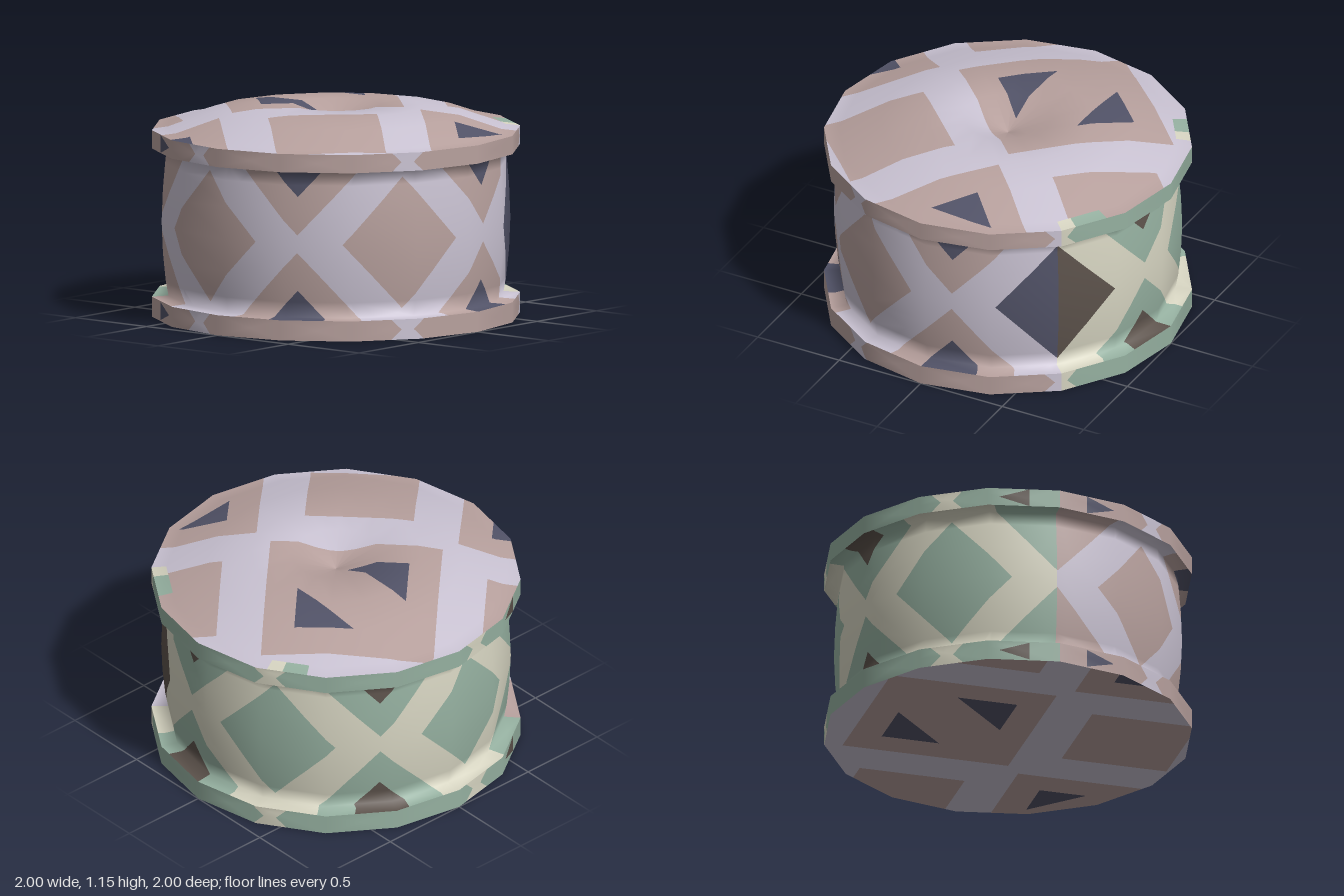
import * as THREE from 'three';

const mat = (name, color) => {
  const m = new THREE.MeshStandardMaterial({ color });
  m.name = name;
  return m;
};
const MATS = {
  pink: mat('dusty pink', 0xb8a19e),
  lavender: mat('lavender', 0xcac3d3),
  navy: mat('navy', 0x525368),
  green: mat('sage green', 0x95b0a0),
  cream: mat('cream', 0xd6d4c1),
  brown: mat('dark brown', 0x5d534c),
};
// Each half of the side has its own three colours
const FRONT = { base: 'pink', band: 'lavender', spot: 'navy' };
const BACK = { base: 'green', band: 'cream', spot: 'brown' };
const half = (deg) => (deg > 135 && deg < 315 ? BACK : FRONT);

// Argyle lattice: large cells with a spot inside, small cells between, bands around
const P = 3.43, BIG = 1.58;
const fold = (x) => Math.abs(x - P * Math.round(x / P));
function argyle(a, b) {
  const big = fold(a) + fold(b);
  if (big < 1) return 'spot';
  if (big < BIG) return 'base';
  return fold(a - P / 2) + fold(b - P / 2) < 1 ? 'small' : 'band';
}
// Lines a*u + b*v = c along which the lattice changes colour
function argyleLines(u0, v0, U, V) {
  const lines = [];
  for (let k = -8; k <= 8; k++) {
    for (const d of [-BIG, -1, 1, BIG]) {
      for (const s of [1, -1]) {
        lines.push([1 / U, s / V, P * k + d + u0 / U + (s * v0) / V]);
      }
    }
  }
  return lines;
}

// Cut a triangle by a line in pattern space, keeping its winding
function splitTriangle(tri, [a, b, c], out) {
  const d = tri.map((p) => {
    const e = a * p[6] + b * p[7] - c;
    return Math.abs(e) < 1e-6 ? 0 : e;
  });
  if (d.every((e) => e >= 0) || d.every((e) => e <= 0)) {
    out.push(tri);
    return;
  }
  for (const side of [1, -1]) {
    const poly = [];
    for (let i = 0; i < 3; i++) {
      const j = (i + 1) % 3;
      if (d[i] * side >= 0) poly.push(tri[i]);
      if (d[i] * d[j] < 0) {
        const t = d[i] / (d[i] - d[j]);
        poly.push(tri[i].map((x, n) => x + (tri[j][n] - x) * t));
      }
    }
    for (let i = 2; i < poly.length; i++) out.push([poly[0], poly[i - 1], poly[i]]);
  }
}

// Sixteen-sided turned part, split exactly along its pattern, one mesh per colour
function patternedLathe(name, profile, planar, lines, colourAt) {
  const pts = profile.map(([r, y]) => new THREE.Vector2(r, y));
  const geo = new THREE.LatheGeometry(pts, 16).toNonIndexed();
  const { position: p, normal: n, uv } = geo.attributes;
  let tris = [];
  for (let i = 0; i < p.count; i += 3) {
    const tri = [0, 1, 2].map((k) => {
      const j = i + k, x = p.getX(j), y = p.getY(j), z = p.getZ(j);
      return [x, y, z, n.getX(j), n.getY(j), n.getZ(j),
        planar ? x : uv.getX(j) * 360, planar ? z : y];
    });
    const [A, B, C] = tri.map((q) => new THREE.Vector3(q[0], q[1], q[2]));
    if (B.sub(A).cross(C.sub(A)).length() > 1e-8) tris.push(tri);
  }
  for (const line of lines) {
    const next = [];
    for (const tri of tris) splitTriangle(tri, line, next);
    tris = next;
  }
  const buckets = {};
  for (const tri of tris) {
    const mid = (k) => (tri[0][k] + tri[1][k] + tri[2][k]) / 3;
    const key = colourAt(mid(6), mid(7), mid(1));
    (buckets[key] ??= []).push(...tri);
  }
  const group = new THREE.Group();
  group.name = name;
  for (const [key, verts] of Object.entries(buckets)) {
    const g = new THREE.BufferGeometry();
    const attr = (from) => new THREE.Float32BufferAttribute(verts.flatMap((q) => q.slice(from, from + 3)), 3);
    g.setAttribute('position', attr(0));
    g.setAttribute('normal', attr(3));
    const mesh = new THREE.Mesh(g, MATS[key]);
    mesh.name = `${name} ${MATS[key].name}`;
    group.add(mesh);
  }
  return group;
}

const SEAMS = [[1, 0, 135], [1, 0, 315]];

// Slightly barrelled side, running out into the ledges under and over the rims
function makeBody() {
  const profile = [[1, 0.11], [0.91, 0.115], [0.925, 0.2], [0.94, 0.35], [0.947, 0.52],
    [0.94, 0.7], [0.928, 0.84], [0.92, 0.915], [1, 0.92]];
  const lines = [...argyleLines(27, 1.137, 21, 0.36), ...SEAMS];
  return patternedLathe('body', profile, false, lines, (deg, y) => {
    const set = half(deg);
    const kind = argyle((deg - 27) / 21, (y - 1.137) / 0.36);
    if (kind === 'spot') return Math.abs(deg - 315) < 36 ? set.base : set.spot;
    if (kind === 'small') return Math.abs(deg - 135) < 36 ? set.spot : set.base;
    return set[kind];
  });
}

// Rim with bow-tie shaped bands and a pair of dark wedges beside the front seam
function makeRim(name, y0, y1) {
  const mid = (y0 + y1) / 2;
  const lines = [...SEAMS, [0, 1, mid], [1, 0, 305.5], [1, 0, 324.5]];
  for (const s of [1, -1]) {
    for (const e of [1, -1]) {
      for (let k = 0; k < 6; k++) lines.push([1, 60 * s, -9 + 72 * k + 2 * e + 60 * s * mid]);
      lines.push([1, 190 * s, 315 + 19 * e + 190 * s * mid]);
    }
  }
  return patternedLathe(name, [[1, y0], [1, y1]], false, lines, (deg, y) => {
    const set = half(deg), dy = Math.abs(y - mid);
    const seam = Math.abs(deg - 315);
    if (seam > 9.5 && seam + 190 * dy < 19) return set.spot;
    const d = Math.abs(deg + 9 - 72 * Math.round((deg + 9) / 72));
    return d - 60 * dy < 2 ? set.band : set.base;
  });
}

// Planar argyle for the top cushion and the base
const X0 = -0.33, Z0 = -0.18, S = 0.418;
const PLANAR_LINES = [...argyleLines(X0, Z0, S, S), [0, 1, 0], [0, 1, -0.37], [1, 0, 0.87]];
function planarColour(x, z) {
  const kind = argyle((x - X0) / S, (z - Z0) / S);
  if (kind === 'band') return 'lavender';
  if (kind !== 'spot') return 'pink';
  const middle = x < 0.4 && z > -0.37 && z < 0;
  return middle || x > 0.87 ? 'pink' : 'navy';
}

// Domed cushion with a shallow dent in the centre
function makeCushion() {
  const profile = [[1, 1.02], [0.92, 1.03], [0.69, 1.11], [0.46, 1.145], [0.24, 1.148], [0, 1.05]];
  // Small patches of the back colours on the lip
  const patches = [[135, 140, 'cream'], [140, 151, 'green'], [206, 211, 'cream'], [211, 219, 'green']];
  const radial = patches.flatMap(([a, b]) => [a, b]).map((deg) => {
    const t = THREE.MathUtils.degToRad(deg);
    return [Math.cos(t), -Math.sin(t), 0];
  });
  return patternedLathe('cushion', profile, true, [...PLANAR_LINES, ...radial], (x, z, y) => {
    if (y < 1.03) {
      const deg = (THREE.MathUtils.radToDeg(Math.atan2(x, z)) + 360) % 360;
      const patch = patches.find(([a, b]) => deg > a && deg < b);
      if (patch) return patch[2];
    }
    return planarColour(x, z);
  });
}

export function createModel() {
  const model = new THREE.Group();
  model.name = 'patterned pouf';
  model.add(
    patternedLathe('base', [[0, 0], [1, 0]], true, PLANAR_LINES, planarColour),
    makeRim('lowerRim', 0, 0.11),
    makeBody(),
    makeRim('upperRim', 0.92, 1.02),
    makeCushion(),
  );
  return model;
}
